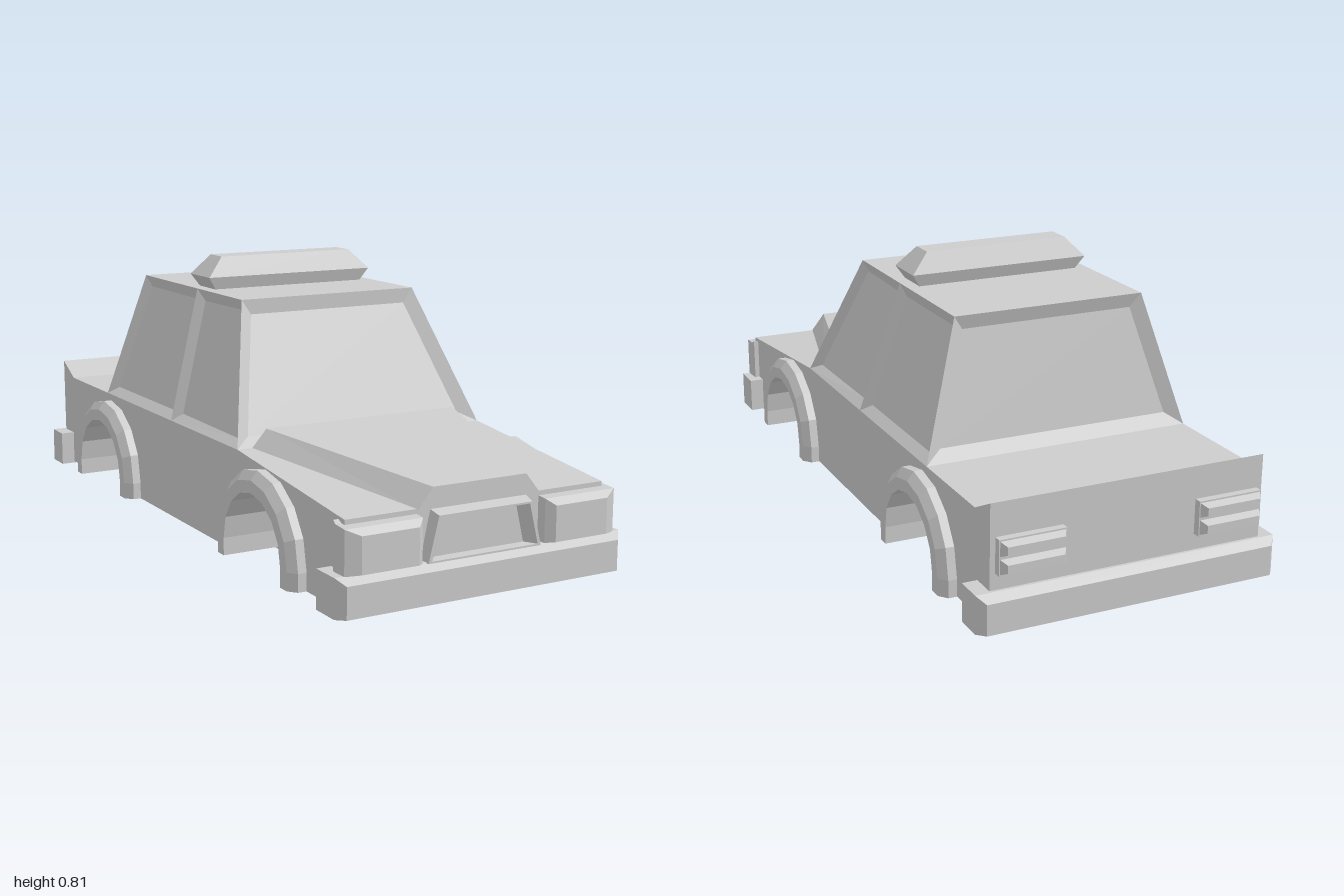
import * as THREE from 'three';

const paint = new THREE.MeshStandardMaterial({ color: 0xcccccc });
paint.name = 'light grey';

// Flat-shaded mesh from a list of quads/triangles (arrays of Vector3, counter-clockwise outside)
function facesMesh(name, faces) {
  const pos = [];
  for (const f of faces)
    for (let i = 1; i < f.length - 1; i++)
      for (const p of [f[0], f[i], f[i + 1]]) pos.push(p.x, p.y, p.z);
  const g = new THREE.BufferGeometry();
  g.setAttribute('position', new THREE.Float32BufferAttribute(pos, 3));
  g.computeVertexNormals();
  return named(name, new THREE.Mesh(g, paint));
}

function named(name, object) {
  object.name = name;
  return object;
}

// Closed solid through equal-sized cross-sections
function solid(name, sections) {
  const faces = [];
  for (let i = 0; i < sections.length - 1; i++) {
    const a = sections[i], b = sections[i + 1];
    a.forEach((p, j) => {
      const k = (j + 1) % a.length;
      faces.push([p, a[k], b[k], b[j]]);
    });
  }
  faces.push([...sections[0]].reverse(), sections[sections.length - 1]);
  return facesMesh(name, faces);
}

const V = (x, y, z) => new THREE.Vector3(x, y, z);
// Cross-sections at depth z: a trapezoid (half widths) and a rectangle
const trap = (z, bottom, top, y0, y1) =>
  [V(-bottom, y0, z), V(bottom, y0, z), V(top, y1, z), V(-top, y1, z)];
const rect = (z, x0, x1, y0, y1) =>
  [V(x0, y0, z), V(x1, y0, z), V(x1, y1, z), V(x0, y1, z)];

// Side profile extruded across the width, from x0 to x1
function profileMesh(name, points, x0, x1) {
  const shape = new THREE.Shape(points.map(([z, y]) => new THREE.Vector2(z, y)));
  const g = new THREE.ExtrudeGeometry(shape, { depth: x1 - x0, bevelEnabled: false });
  g.rotateY(-Math.PI / 2).translate(x1, 0, 0);
  return named(name, new THREE.Mesh(g, paint));
}

const WHEEL_Z = 0.535, AXLE_Y = 0.09, FLOOR = 0.04, ARCH_R = 0.165;

// Wheel opening outline, from its front foot over the top to its rear foot
function archPath(cz, r) {
  const pts = [[cz + r, FLOOR]];
  for (let i = 0; i <= 8; i++) {
    const a = (i / 8) * Math.PI;
    pts.push([cz + r * Math.cos(a), AXLE_Y + r * Math.sin(a)]);
  }
  pts.push([cz - r, FLOOR]);
  return pts;
}

// Raised trim around a wheel opening, on the +x side
function archTrim(cz) {
  const profile = [[ARCH_R, 0.38], [0.225, 0.38], [0.225, 0.425], [0.2, 0.445], [ARCH_R, 0.445]];
  const paths = profile.map(([r]) => archPath(cz, r));
  return solid('wheelArch', paths[0].map((_, i) =>
    profile.map(([, x], j) => V(x, paths[j][i][1], paths[j][i][0]))));
}

// Recessed window: four outer corners, sloping reveals and a sunken pane
function windowPanel(name, corners, inset = 0.04, depth = 0.02) {
  const normal = V(0, 0, 0).crossVectors(
    corners[1].clone().sub(corners[0]), corners[3].clone().sub(corners[0])).normalize();
  const inner = corners.map((p, i) => {
    const q = p.clone().addScaledVector(normal, -depth);
    for (const n of [corners[(i + 1) % 4], corners[(i + 3) % 4]])
      q.addScaledVector(n.clone().sub(p).normalize(), inset);
    return q;
  });
  const faces = corners.map((p, i) => {
    const k = (i + 1) % 4;
    return [p, corners[k], inner[k], inner[i]];
  });
  return facesMesh(name, [...faces, inner]);
}

function makeCabin() {
  const cabin = named('cabin', new THREE.Group());
  const low = (s, z) => V(s * 0.4, 0.335, z), high = (s, z) => V(s * 0.287, 0.72, z);
  const zLow = [0.37, -0.07, -0.565], zHigh = [0.178, -0.115, -0.497];
  cabin.add(
    windowPanel('windshield', [low(-1, zLow[0]), low(1, zLow[0]), high(1, zHigh[0]), high(-1, zHigh[0])]),
    windowPanel('rearWindow', [low(1, zLow[2]), low(-1, zLow[2]), high(-1, zHigh[2]), high(1, zHigh[2])]),
    facesMesh('roof', [[high(-1, zHigh[0]), high(1, zHigh[0]), high(1, zHigh[2]), high(-1, zHigh[2])]]));
  for (const s of [1, -1])
    for (const i of [0, 1]) {
      const c = [low(s, zLow[i]), low(s, zLow[i + 1]), high(s, zHigh[i + 1]), high(s, zHigh[i])];
      cabin.add(windowPanel('sideWindow', s > 0 ? c : c.reverse(), 0.03));
    }
  return cabin;
}

function makeBumper(name, end) {
  return solid(name, [
    rect(0.885, -0.443, 0.443, 0.035, 0.142),
    rect(end - 0.025, -0.443, 0.443, 0.035, 0.142),
    rect(end, -0.422, 0.422, 0.037, 0.123)]);
}

export function createModel() {
  const car = named('car', new THREE.Group());

  // Body: solid middle and two flanks with wheel openings
  const upper = [[-0.955, FLOOR], [-0.96, 0.38], [-0.87, 0.335], [0.37, 0.335], [0.95, 0.277], [0.95, FLOOR]];
  const flank = [...upper, ...archPath(WHEEL_Z, ARCH_R), ...archPath(-WHEEL_Z, ARCH_R)];
  car.add(
    profileMesh('bodyMiddle', upper, -0.22, 0.22),
    profileMesh('leftFlank', flank, 0.22, 0.4),
    profileMesh('rightFlank', flank, -0.4, -0.22));

  // Wheel arch trims, the right pair turned half round
  for (const turn of [0, Math.PI]) {
    const pair = named('wheelArches', new THREE.Group());
    pair.add(archTrim(WHEEL_Z), archTrim(-WHEEL_Z));
    pair.rotation.y = turn;
    car.add(pair);
  }

  // Raised bonnet, tapering to the nose
  car.add(solid('bonnet', [
    trap(0.37, 0.355, 0.31, 0.334, 0.385),
    trap(0.955, 0.19, 0.145, 0.274, 0.33)]));

  // Grille with a sunken centre
  car.add(solid('grille', [
    trap(0.94, 0.178, 0.15, 0.14, 0.274),
    trap(0.985, 0.175, 0.145, 0.14, 0.262),
    trap(0.985, 0.165, 0.137, 0.145, 0.257),
    trap(0.955, 0.14, 0.115, 0.147, 0.25)]));

  car.add(makeCabin(), makeBumper('frontBumper', 1));

  // Headlights
  for (const s of [1, -1]) {
    const lamp = (z, a, b, y0, y1) => rect(z, Math.min(s * a, s * b), Math.max(s * a, s * b), y0, y1);
    car.add(solid('headlight', [
      lamp(0.92, 0.195, 0.415, 0.142, 0.272),
      lamp(0.935, 0.19, 0.418, 0.142, 0.265),
      lamp(0.98, 0.19, 0.418, 0.142, 0.262),
      lamp(1, 0.212, 0.38, 0.146, 0.245)]));
  }

  // Rear bumper and ribbed tail lights, built facing front and turned round
  const rear = named('rearEnd', new THREE.Group());
  rear.add(makeBumper('rearBumper', 0.99));
  for (const x of [-0.385, 0.195]) {
    rear.add(solid('tailLightBase', [
      rect(0.94, x, x + 0.19, 0.188, 0.287),
      rect(0.98, x, x + 0.19, 0.188, 0.287)]));
    for (const y of [0.19, 0.239])
      rear.add(solid('tailLightRib', [
        rect(0.975, x, x + 0.19, y, y + 0.046),
        rect(1, x + 0.015, x + 0.175, y + 0.012, y + 0.034)]));
  }
  rear.rotation.y = Math.PI;
  car.add(rear);

  // Roof light bar and underbody, built along z and stood upright
  const upright = named('uprightParts', new THREE.Group());
  upright.add(
    solid('roofLightBar', [
      rect(0.715, -0.247, 0.247, 0.068, 0.172),
      rect(0.757, -0.275, 0.275, 0.055, 0.187),
      rect(0.815, -0.22, 0.22, 0.085, 0.16)]),
    solid('underbody', [
      rect(0, -0.22, 0.22, -0.735, 0.725),
      rect(0.05, -0.22, 0.22, -0.76, 0.75)]));
  upright.rotation.x = -Math.PI / 2;
  car.add(upright);

  return car;
}
